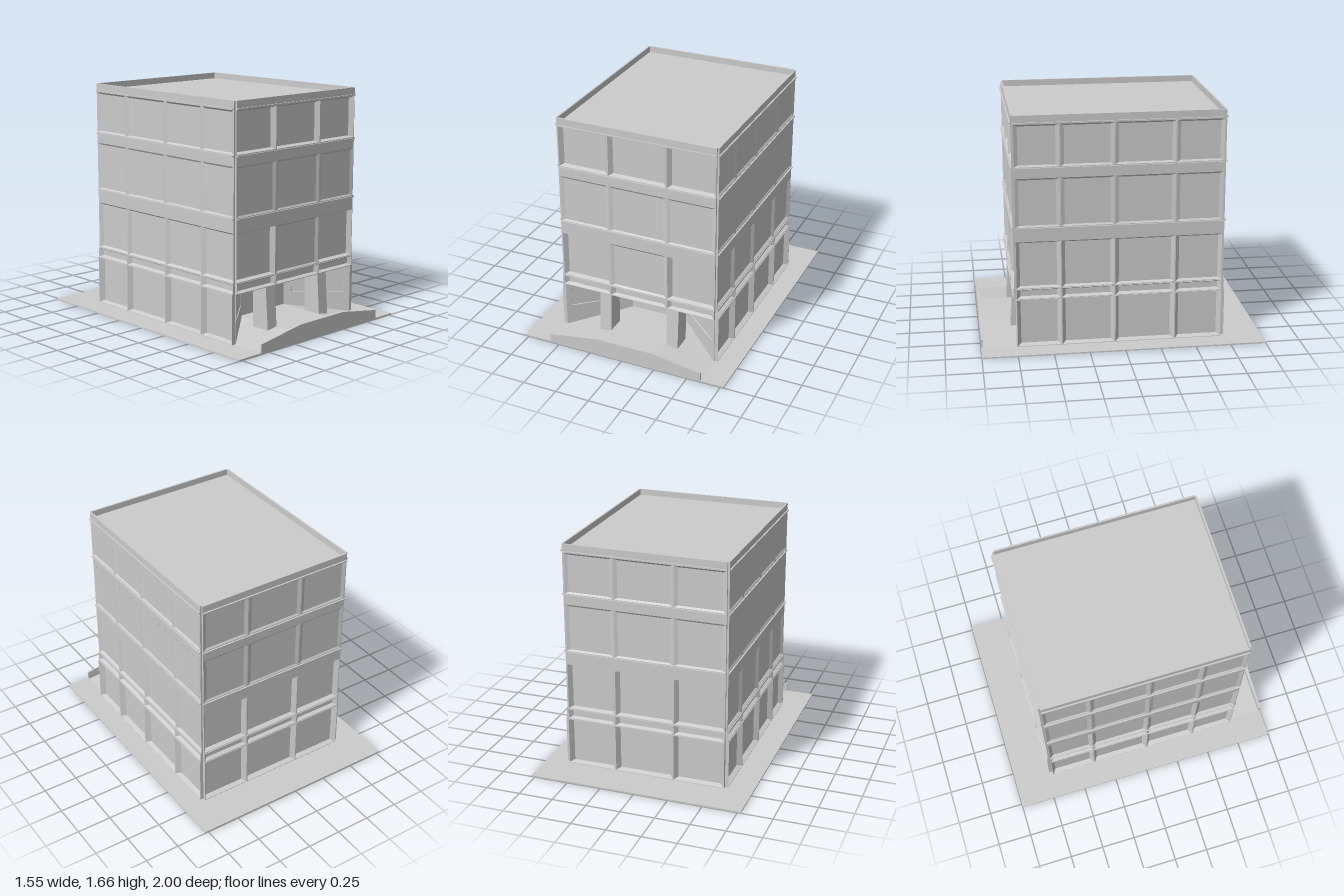
import * as THREE from 'three';

const mat = new THREE.MeshStandardMaterial({ color: 0xcccccc, flatShading: true, side: THREE.DoubleSide });

function add(parent, name, geo, x = 0, y = 0, z = 0) {
  const m = new THREE.Mesh(geo, mat);
  m.name = name;
  m.position.set(x, y, z);
  parent.add(m);
  return m;
}

// box given by its lower and upper limits
function block(parent, name, x0, x1, y0, y1, z0, z1) {
  return add(parent, name, new THREE.BoxGeometry(x1 - x0, y1 - y0, z1 - z0),
    (x0 + x1) / 2, (y0 + y1) / 2, (z0 + z1) / 2);
}

function polygon(points) {
  return points.map(([x, y]) => new THREE.Vector2(x, y));
}

function rect(u0, u1, y0, y1) {
  return polygon([[u0, y0], [u1, y0], [u1, y1], [u0, y1]]);
}

// upright profile in x and y, extruded from z0 to z1
function prism(points, z0, z1) {
  return new THREE.ExtrudeGeometry(new THREE.Shape(polygon(points)), { depth: z1 - z0, bevelEnabled: false })
    .translate(0, 0, z0);
}

// sunken panel: four sloping reveals round a flat pane
function insetGeometry(b, front) {
  const iu = b.iu ?? 0.025, iy = b.iy ?? 0.012;
  const outer = rect(b.u0, b.u1, b.y0, b.y1).map(p => [p.x, p.y, front]);
  const inner = rect(b.u0 + iu, b.u1 - iu, b.y0 + iy, b.y1 - iy).map(p => [p.x, p.y, front - b.depth]);
  const pos = [];
  const quad = (p, q, r, s) => pos.push(...p, ...q, ...r, ...p, ...r, ...s);
  for (let i = 0; i < 4; i++) {
    const j = (i + 1) % 4;
    quad(outer[i], outer[j], inner[j], inner[i]);
  }
  quad(...inner);
  const g = new THREE.BufferGeometry();
  g.setAttribute('position', new THREE.Float32BufferAttribute(pos, 3));
  g.computeVertexNormals();
  return g;
}

// wall slab with an opening for each bay, filled by a sunken panel
function panelWall(parent, name, length, y0, y1, thick, bays) {
  const shape = new THREE.Shape(rect(0, length, y0, y1));
  for (const b of bays) shape.holes.push(new THREE.Path(rect(b.u0, b.u1, b.y0, b.y1)));
  add(parent, name, new THREE.ExtrudeGeometry(shape, { depth: thick, bevelEnabled: false }));
  for (const b of bays) add(parent, name + 'Pane', insetGeometry(b, thick));
}

// group whose local x runs from a to b and whose local z faces outward
function side(parent, name, [ax, az], [bx, bz]) {
  const g = new THREE.Group();
  g.name = name;
  g.position.set(ax, 0, az);
  g.rotation.y = Math.atan2(az - bz, bx - ax);
  parent.add(g);
  return g;
}

// one row of bays between the rib positions
function row(ribs, y0, y1, depths) {
  return depths.map((depth, i) => ({ u0: ribs[i] + 0.004, u1: ribs[i + 1] - 0.004, y0, y1, depth }));
}

export function createModel() {
  const model = new THREE.Group();
  model.name = 'officeBuilding';
  const X0 = -0.57, XA = -0.195, XB = 0.24, X1 = 0.6, Z0 = -0.705, Z1 = 0.745, ZP = 0.42;
  const xs = [X0, XA, XB, X1], zs = [Z0, -0.37, 0.055, 0.43, Z1];

  block(model, 'groundSlab', -0.775, 0.775, 0, 0.01, -1, 1);
  block(model, 'roof', X0, X1, 1.61, 1.62, Z0, Z1);

  // the four facades: ribs are distances along each side
  const facades = [
    { name: 'front', a: [X0, Z1], b: [X1, Z1], ribs: xs.map(x => x - X0), second: [0.03, 0.01, 0.03], top: 0.03 },
    { name: 'rightSide', a: [X1, Z1], b: [X1, Z0], ribs: zs.map(z => Z1 - z).reverse(), second: Array(4).fill(0.018), top: 0.01 },
    { name: 'back', a: [X1, Z0], b: [X0, Z0], ribs: xs.map(x => X1 - x).reverse(), second: Array(3).fill(0.03), top: 0.01 },
    { name: 'leftSide', a: [X0, Z0], b: [X0, Z1], ribs: zs.map(z => z - Z0), second: Array(4).fill(0.018), top: 0.01 },
  ];
  for (const f of facades) {
    const g = side(model, f.name + 'Facade', f.a, f.b);
    const length = f.ribs.at(-1), all = d => f.second.map(() => d);
    panelWall(g, 'upperWall', length, 0.435, 1.665, 0.013, [
      ...row(f.ribs, 0.44, 0.778, f.second),
      ...row(f.ribs, 0.882, 1.228, all(0.008)),
      ...row(f.ribs, 1.308, 1.602, all(f.top)),
    ]);
    panelWall(g, 'spandrel', length, 0.36, 0.435, 0.02, row(f.ribs, 0.365, 0.431, all(0.025)));
    if (f.name !== 'front') {
      panelWall(g, 'groundFloorWall', length, 0.01, 0.36, 0.025, row(f.ribs, 0.014, 0.356, all(0.035)));
    }
    for (const y of [0.873, 1.298, 1.612]) block(g, 'ledge', 0, length, y - 0.004, y + 0.004, 0.005, 0.024);
  }

  // entrance porch: splayed walls, back wall and ceiling
  for (const [name, a, b, u0, u1] of [
    ['leftSplayWall', [XB, ZP], [X1, Z1], 0.06, 0.445],
    ['rightSplayWall', [X0, Z1], [XA, ZP], 0.04, 0.43],
  ]) {
    const length = Math.hypot(b[0] - a[0], b[1] - a[1]);
    panelWall(side(model, name, a, b), 'porchWall', length, 0.01, 0.36, 0.006,
      [{ u0, u1, y0: 0.16, y1: 0.315, depth: 0.006, iu: 0.002, iy: 0.002 }]);
  }
  block(model, 'porchBackWall', XA, XB, 0.01, 0.36, ZP - 0.01, ZP);
  block(model, 'porchCeiling', X0, X1, 0.36, 0.366, ZP - 0.01, Z1);

  // raised entrance floor, ramping down to both ends
  add(model, 'entranceRamp', prism([[X0, 0.01], [X1, 0.01], [XB, 0.065], [XA, 0.065]], ZP, 0.98));

  // low front wall that follows the ramp and thins towards its ends
  const wall = prism([[X0, 0.01], [XA, 0.01], [XB, 0.01], [X1, 0.01],
    [X1, 0.07], [XB, 0.128], [XA, 0.128], [X0, 0.07]], 0.975, 1);
  const wp = wall.attributes.position;
  for (let i = 0; i < wp.count; i++) {
    const x = wp.getX(i);
    if (wp.getZ(i) < 0.99 && (x < -0.5 || x > 0.5)) wp.setZ(i, 0.988);
  }
  wall.computeVertexNormals();
  add(model, 'frontWall', wall);

  // porch piers with a front face that leans out towards the foot
  for (const [x0, x1] of [[-0.283, XA], [XB, 0.328]]) {
    const pier = block(model, 'porchPier', x0, x1, 0.02, 0.36, 0.63, 0.752);
    const p = pier.geometry.attributes.position;
    for (let i = 0; i < p.count; i++) if (p.getY(i) < 0 && p.getZ(i) > 0) p.setZ(i, p.getZ(i) + 0.024);
    pier.geometry.computeVertexNormals();
  }
  return model;
}
